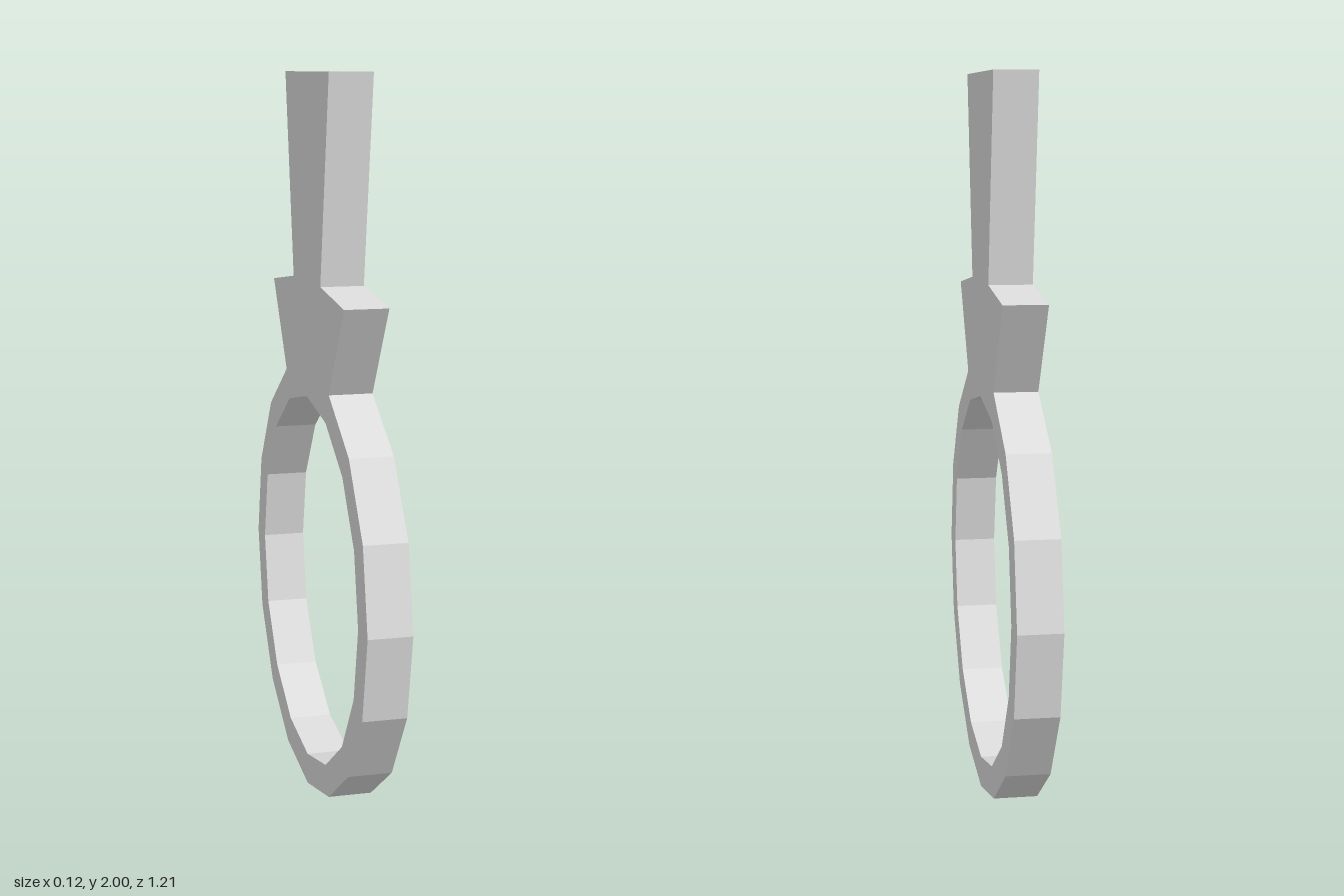
import * as THREE from 'three';

const CENTER_Y = 0.605, OUTER = 0.605, INNER = 0.518, SIDES = 16, THICKNESS = 0.12;

// Corner i of a 16-sided ring, counted from the top
function corner(radius, i) {
  const a = (i / SIDES) * Math.PI * 2;
  return new THREE.Vector2(Math.sin(a) * radius, CENTER_Y + Math.cos(a) * radius);
}

export function createModel() {
  const group = new THREE.Group();
  group.name = 'ringWithBlade';
  const grey = new THREE.MeshStandardMaterial({ color: 0xdadada, flatShading: true });
  grey.name = 'lightGrey';

  // Outline: ring corners all round, with the top one replaced by collar and blade
  const outline = [];
  for (let i = 1; i < SIDES; i++) outline.push(corner(OUTER, i));
  const half = [[-0.38, 1.408], [-0.145, 1.44], [-0.231, 2]];
  for (const [x, y] of half) outline.push(new THREE.Vector2(x, y));
  for (const [x, y] of half.slice().reverse()) outline.push(new THREE.Vector2(-x, y));

  // Finger-hole, wound against the outline so its wall faces inward
  const shape = new THREE.Shape(outline);
  const hole = [];
  for (let i = 0; i < SIDES; i++) hole.push(corner(INNER, -i));
  shape.holes.push(new THREE.Path(hole));

  // Flat plate, turned so its profile lies in the side plane
  const geometry = new THREE.ExtrudeGeometry(shape, { depth: THICKNESS, bevelEnabled: false });
  geometry.translate(0, 0, -THICKNESS / 2);
  geometry.rotateY(Math.PI / 2);

  const mesh = new THREE.Mesh(geometry, grey);
  mesh.name = 'ringCollarAndBlade';
  group.add(mesh);
  return group;
}
